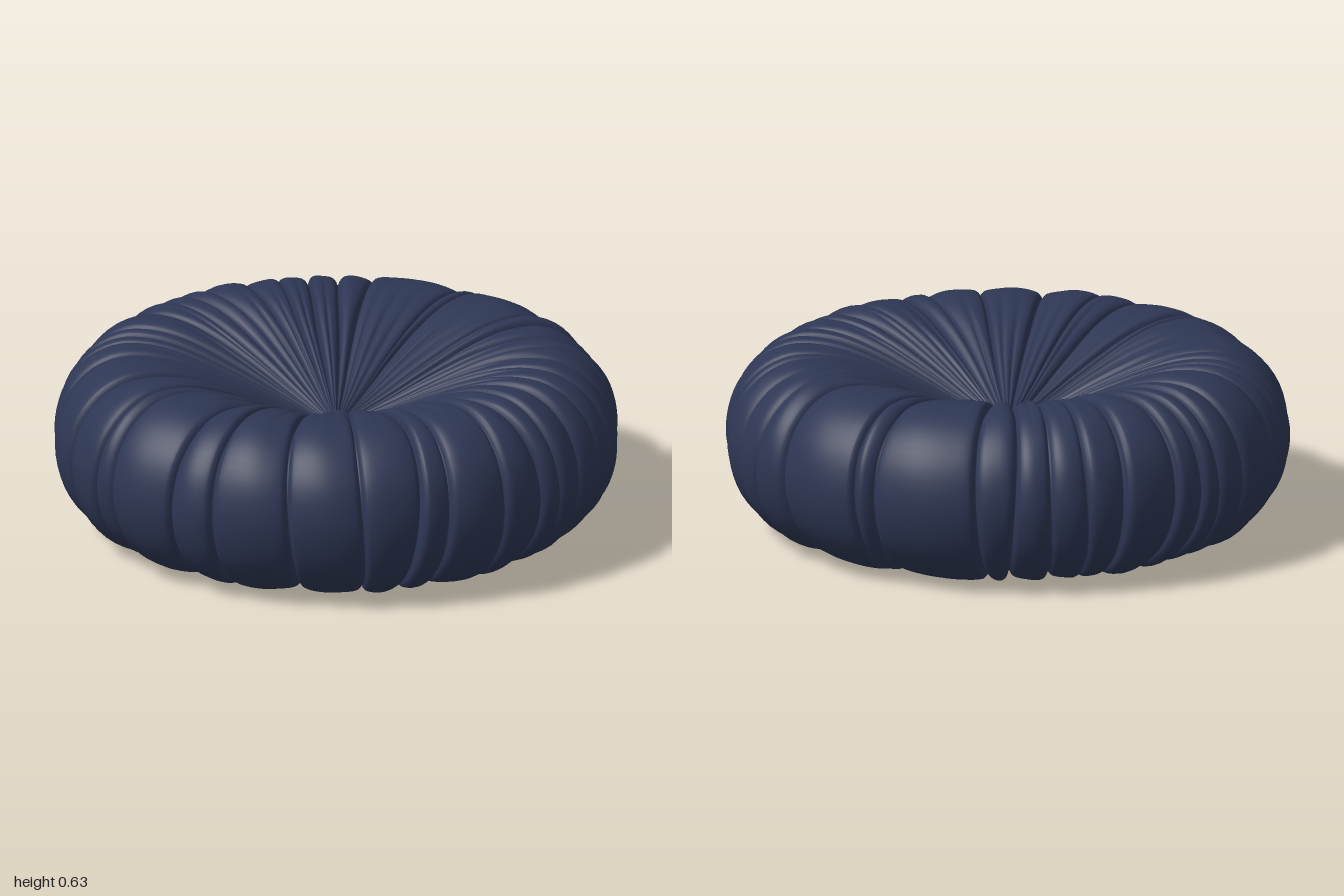
import * as THREE from 'three';

const MID = 0.32; // height of the cushion's mid plane

// half profile (radius, height above the mid plane), from the tuft out to the rim
const HALF = [[0.02, 0.04], [0.08, 0.06], [0.2, 0.115], [0.3, 0.165], [0.4, 0.212], [0.5, 0.255],
  [0.6, 0.287], [0.7, 0.299], [0.79, 0.286], [0.88, 0.232], [0.95, 0.135], [0.978, 0]];

// directions of the main fabric folds, in degrees from +x towards +z
const FOLDS = [-123, -100, -96, -74, -64, -56, -45, -39, -30, -22, -14, -6, 1, 10, 24, 31, 43, 59, 75, 85,
  102, 108, 121, 138, 146, 153, 160, 172, 180, 187, 194, 205, 213, 221, 230];

function seeded(seed) {
  return () => {
    seed = (seed * 16807) % 2147483647;
    return seed / 2147483647;
  };
}

function pleatedCover() {
  const rand = seeded(4711);
  const full = [...HALF, ...HALF.slice(0, -1).reverse().map(([r, y]) => [r, -y])];
  const curve = new THREE.SplineCurve(full.map(([r, y]) => new THREE.Vector2(r, y)));
  const ROWS = 72;

  // one record per fold, with its own lean and sideways drift
  const folds = FOLDS.map((deg) => ({
    angle: THREE.MathUtils.degToRad(deg),
    lean: (rand() < 0.5 ? -1 : 1) * (0.4 + 0.6 * rand()),
    phase: rand() * 6.28,
    drift: 0.01 + 0.015 * rand(),
  }));

  // columns: packed close to each fold, even across the panel between folds
  const columns = [];
  folds.forEach((fold, k) => {
    const next = folds[(k + 1) % folds.length];
    const end = next.angle + (k === folds.length - 1 ? Math.PI * 2 : 0);
    const width = end - fold.angle;
    const gathers = Math.max(1, Math.round(width / 0.09));
    const edge = [0, 0.004, 0.01, 0.018];
    const steps = 5 * gathers;
    const offsets = [...edge];
    for (let i = 0; i <= steps; i++) offsets.push(0.026 + (width - 0.052) * i / steps);
    offsets.push(width - 0.018, width - 0.01, width - 0.004);
    offsets.forEach((o) => columns.push({ fold, next, width, gathers, o, u: o / width }));
  });

  const positions = [];
  const index = [];
  for (let i = 0; i <= ROWS; i++) {
    const t = i / ROWS;
    const p = curve.getPointAt(t);
    const tan = curve.getTangentAt(t);
    const size = 0.3 + 0.7 * Math.min(1, p.x / 0.45);
    const inner = 1 - THREE.MathUtils.smoothstep(p.x, 0.3, 0.85);
    const drift = (f) => f.drift * Math.sin(t * 9 + f.phase) * Math.min(1, p.x / 0.5);
    for (const c of columns) {
      const near = Math.min(c.o, c.width - c.o);
      const puff = 0.014 * Math.sin(Math.PI * c.u) * Math.min(1, c.width / 0.2);
      const groove = -0.028 * Math.exp(-near / 0.009);
      const lip = 0.009 * c.fold.lean * (2 * c.u - 1);
      const gather = -0.014 * inner * (1 - Math.abs(Math.sin(Math.PI * c.u * c.gathers))) ** 2;
      const ripple = 0.003 * Math.sin(t * 17 + c.fold.phase + c.u * 4) * Math.sin(Math.PI * c.u);
      const d = size * (puff + groove + lip + gather + ripple);
      const a = c.fold.angle + c.o + drift(c.fold) * (1 - c.u) + drift(c.next) * c.u;
      const r = Math.max(0.012, p.x - tan.y * d);
      positions.push(r * Math.cos(a), MID + p.y + tan.x * d, r * Math.sin(a));
    }
  }
  const n = columns.length;
  for (let i = 0; i < ROWS; i++) {
    for (let j = 0; j < n; j++) {
      const a = i * n + j;
      const b = i * n + (j + 1) % n;
      index.push(a, b, a + n, b, b + n, a + n);
    }
  }
  const geometry = new THREE.BufferGeometry();
  geometry.setAttribute('position', new THREE.Float32BufferAttribute(positions, 3));
  geometry.setIndex(index);
  geometry.computeVertexNormals();
  return geometry;
}

export function createModel() {
  const group = new THREE.Group();
  group.name = 'roundCushion';
  const fabric = new THREE.MeshStandardMaterial({ color: 0x2d3653 });
  fabric.name = 'navyFabric';

  const cover = new THREE.Mesh(pleatedCover(), fabric);
  cover.name = 'pleatedCover';
  group.add(cover);

  // covered buttons pulling in the middle of both faces
  for (const [name, side] of [['topButton', 1], ['bottomButton', -1]]) {
    const button = new THREE.Mesh(new THREE.SphereGeometry(0.05, 28, 16), fabric);
    button.name = name;
    button.scale.y = 0.45;
    button.position.y = MID + side * 0.06;
    group.add(button);
  }
  return group;
}
